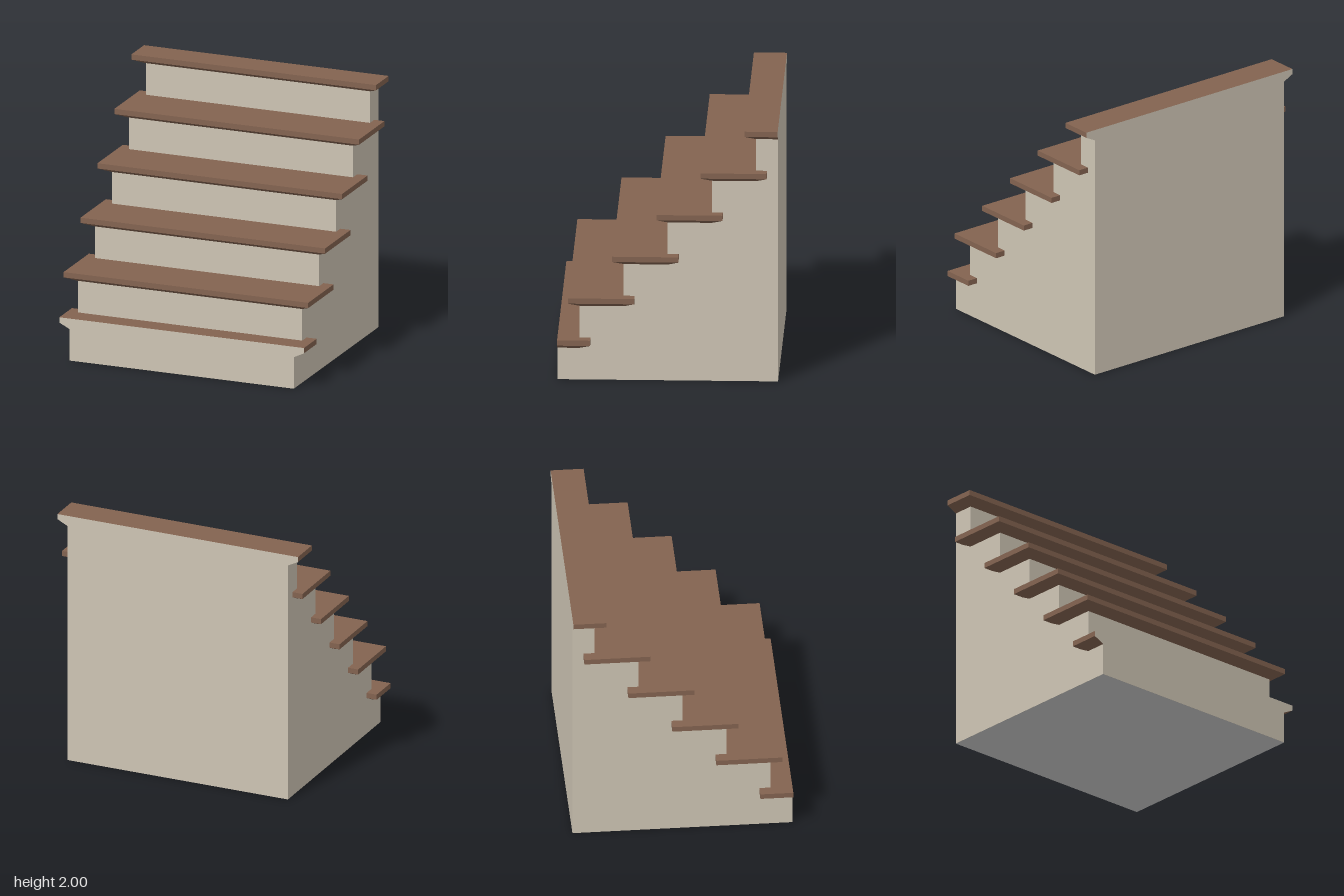
import * as THREE from 'three';

const STEPS = 6, RISE = 2 / STEPS, RUN = 1 / 3;
const HALF_W = 11 / 12, LIP = 1 / 12;         // body half width, tread overhang
const FRONT = 5 / 6, BACK = -5 / 6;
const EDGE = 1 / 24, THICK = 1 / 12;          // tread rim height, full tread thickness

// z of the riser below tread i, cut flat at the front and back of the flight
const riserZ = (i) => THREE.MathUtils.clamp(1 - i * RUN, BACK, FRONT);

// Tread: vertical rim over a chamfer that tapers back to the body; cut ends stay open
function treadGeometry(i) {
  const top = (i + 1) * RISE, zf = riserZ(i), zb = riserZ(i + 1);
  const first = i === 0, last = i === STEPS - 1;
  const ring = (y, out) => {
    const x = HALF_W + out, f = first ? zf : zf + out, b = last ? zb : zb - out;
    return [[-x, y, f], [x, y, f], [x, y, b], [-x, y, b]];
  };
  const rings = [ring(top - THICK, 0), ring(top - EDGE, LIP), ring(top, LIP)];
  const pos = [];
  const quad = (a, b, c, d) => pos.push(...a, ...b, ...c, ...a, ...c, ...d);
  for (let r = 0; r < 2; r++) {
    for (let k = 0; k < 4; k++) {
      if ((first && k === 0) || (last && k === 2)) continue;
      const n = (k + 1) % 4;
      quad(rings[r][k], rings[r][n], rings[r + 1][n], rings[r + 1][k]);
    }
  }
  quad(...rings[2]);
  const g = new THREE.BufferGeometry();
  g.setAttribute('position', new THREE.Float32BufferAttribute(pos, 3));
  g.computeVertexNormals();
  return g;
}

// Flat face closing a cut tread, in the tread's flared section
function cutFace(top) {
  const x = HALF_W, w = HALF_W + LIP;
  return new THREE.ShapeGeometry(new THREE.Shape([
    [-x, top - THICK], [x, top - THICK], [w, top - EDGE], [w, top], [-w, top], [-w, top - EDGE],
  ].map(([a, b]) => new THREE.Vector2(a, b))));
}

export function createModel() {
  const model = new THREE.Group();
  model.name = 'staircase';
  const stone = new THREE.MeshStandardMaterial({ color: 0xcec5b4 });
  const wood = new THREE.MeshStandardMaterial({ color: 0x836350 });
  const grey = new THREE.MeshStandardMaterial({ color: 0xcccccc });
  const add = (name, geometry, material) => {
    const mesh = new THREE.Mesh(geometry, material);
    mesh.name = name;
    model.add(mesh);
    return mesh;
  };

  // Solid stepped body, side profile swept across the width
  const profile = new THREE.Shape();
  profile.moveTo(BACK, 0.001);
  profile.lineTo(FRONT, 0.001);
  for (let i = 0; i < STEPS; i++) {
    const y = (i + 1) * RISE - THICK;
    profile.lineTo(riserZ(i), y);
    profile.lineTo(riserZ(i + 1), y);
  }
  const body = new THREE.ExtrudeGeometry(profile, { depth: 2 * HALF_W, bevelEnabled: false });
  body.rotateY(-Math.PI / 2).translate(HALF_W, 0, 0);
  add('body', body, stone);

  // Grey underside
  const base = new THREE.PlaneGeometry(2 * HALF_W, FRONT - BACK).rotateX(Math.PI / 2);
  add('underside', base, grey);

  // Treads
  for (let i = 0; i < STEPS; i++) add(`tread${i + 1}`, treadGeometry(i), wood);

  // Stone faces on the cut ends of the lowest and highest treads
  add('frontTreadFace', cutFace(RISE), stone).position.z = FRONT;
  const rear = add('backTreadFace', cutFace(STEPS * RISE), stone);
  rear.position.z = BACK;
  rear.rotation.y = Math.PI;

  return model;
}
